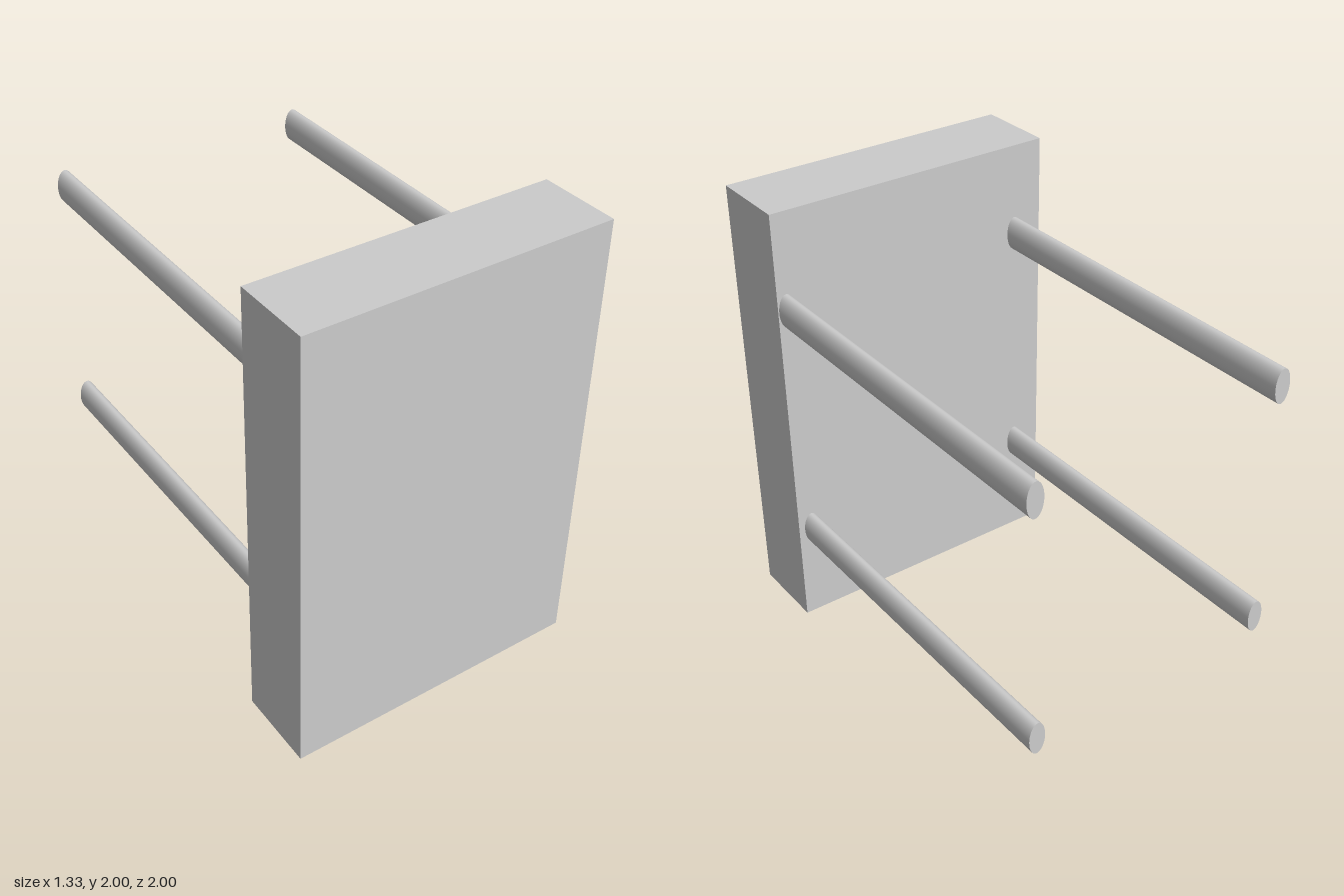
import * as THREE from 'three';

export function createModel() {
  const model = new THREE.Group();
  const material = new THREE.MeshStandardMaterial({ color: 0xcccccc });

  // Upright slab forming the front
  const slab = new THREE.Mesh(new THREE.BoxGeometry(1.33, 2, 0.355), material);
  slab.name = 'slab';
  slab.position.set(0, 1, 0.8225);
  model.add(slab);

  // Straight oval rods running back from the slab
  const back = -1, front = 0.66;
  const rodGeometry = new THREE.CylinderGeometry(1, 1, front - back, 48)
    .rotateX(Math.PI / 2)
    .scale(0.0375, 0.076, 1);
  const rods = [
    ['upperLeftRod', 0.623, 1.566],
    ['lowerLeftRod', 0.599, 0.466],
    ['upperRightRod', -0.528, 1.59],
    ['lowerRightRod', -0.528, 0.49],
  ];
  for (const [name, x, y] of rods) {
    const rod = new THREE.Mesh(rodGeometry, material);
    rod.name = name;
    rod.position.set(x, y, (front + back) / 2);
    model.add(rod);
  }
  return model;
}
